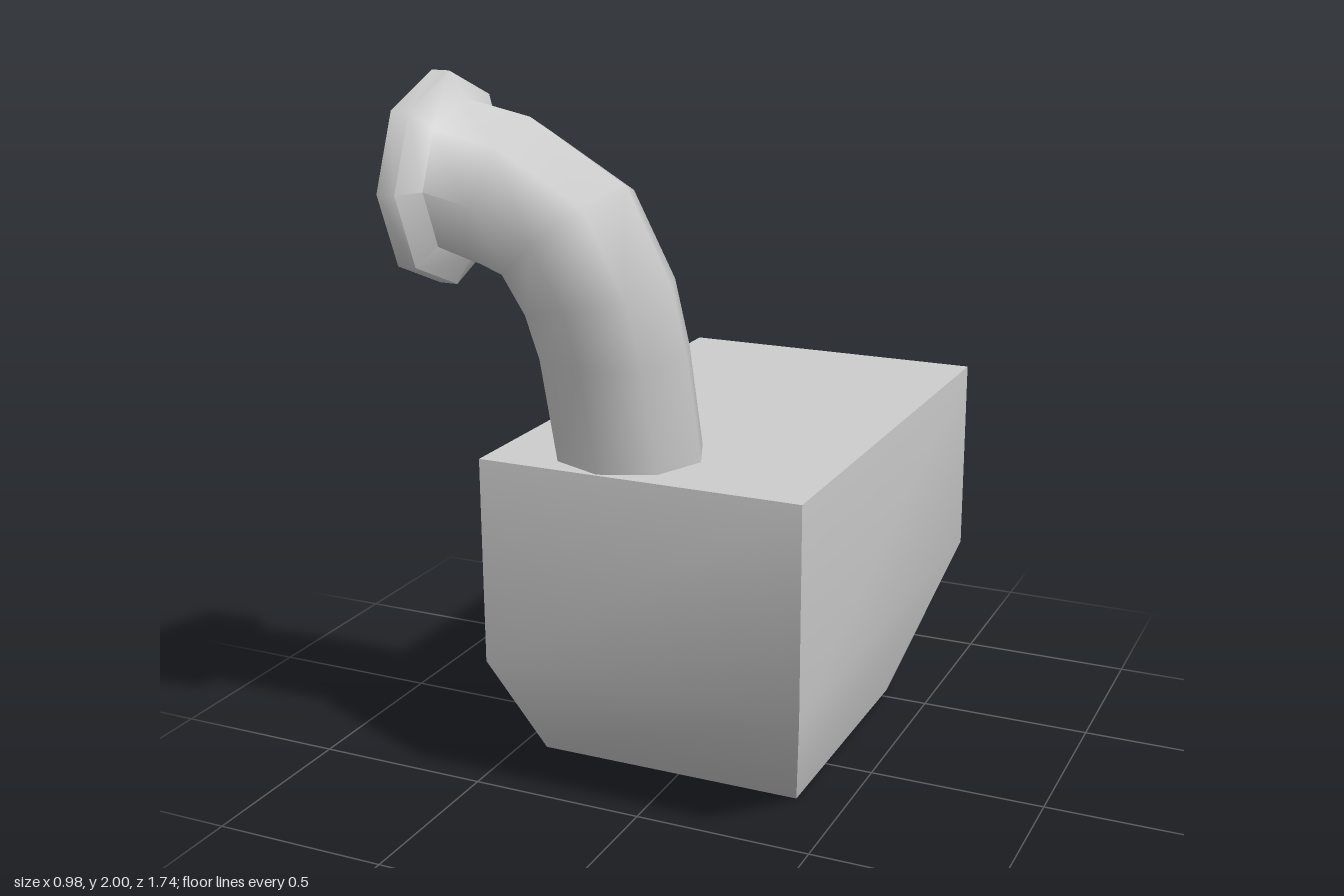
import * as THREE from 'three';
import { toCreasedNormals } from 'three/addons/utils/BufferGeometryUtils.js';

// Joins rings of points (listed bottom to top, counterclockwise seen from above) into a skin.
function loft(rings, { skip = -1, caps = false } = {}) {
  const n = rings[0].length;
  const index = [];
  const quad = (a, b, c, d) => index.push(a, b, c, a, c, d);
  for (let r = 0; r < rings.length - 1; r++) {
    for (let i = 0; i < n; i++) {
      if (i === skip) continue;
      const j = (i + 1) % n;
      quad(r * n + i, r * n + j, (r + 1) * n + j, (r + 1) * n + i);
    }
  }
  if (caps) {
    const t = (rings.length - 1) * n;
    quad(3, 2, 1, 0);
    quad(t, t + 1, t + 2, t + 3);
  }
  const geometry = new THREE.BufferGeometry();
  geometry.setAttribute('position', new THREE.Float32BufferAttribute(rings.flat(2), 3));
  geometry.setIndex(index);
  return toCreasedNormals(geometry, THREE.MathUtils.degToRad(60));
}

// Rectangular ring of the housing.
const rectangle = (y, left, right, front, back) => [
  [left, y, front], [right, y, front], [right, y, back], [left, y, back],
];

// Eight-sided ring of the pipe, tilted from upright (0) to facing sideways (90).
function octagon([x, y, z, radius, tilt]) {
  const a = THREE.MathUtils.degToRad(tilt);
  return Array.from({ length: 8 }, (_, k) => {
    const t = (k * Math.PI) / 4;
    const u = radius * Math.cos(t);
    return [x + u * Math.cos(a), y + u * Math.sin(a), z - radius * Math.sin(t)];
  });
}

export function createModel() {
  const model = new THREE.Group();
  const grey = new THREE.MeshStandardMaterial({ color: 0xcccccc, side: THREE.DoubleSide });
  grey.name = 'light grey';

  const add = (name, geometry) => {
    const mesh = new THREE.Mesh(geometry, grey);
    mesh.name = name;
    model.add(mesh);
  };

  // Hollow housing with a tapered base, open on the -x side
  add('housing', loft([
    rectangle(0, -0.425, 0.36, 0.23, -0.548),
    rectangle(0.405, -0.425, 0.488, 0.553, -0.87),
    rectangle(0.983, -0.425, 0.488, 0.553, -0.87),
  ], { skip: 3, caps: true }));

  // Leaning elbow pipe: x, y, z, radius, tilt
  add('elbowPipe', loft([
    [-0.082, 0.983, 0.342, 0.204, 0],
    [-0.082, 1.28, 0.425, 0.204, 0],
    [-0.097, 1.435, 0.473, 0.204, 12],
    [-0.155, 1.607, 0.53, 0.204, 39],
    [-0.292, 1.7, 0.573, 0.204, 73],
    [-0.405, 1.732, 0.597, 0.204, 90],
    // Flared mouth with a straight rim
    [-0.44, 1.732, 0.602, 0.269, 90],
    [-0.49, 1.732, 0.602, 0.269, 90],
  ].map(octagon)));

  return model;
}
